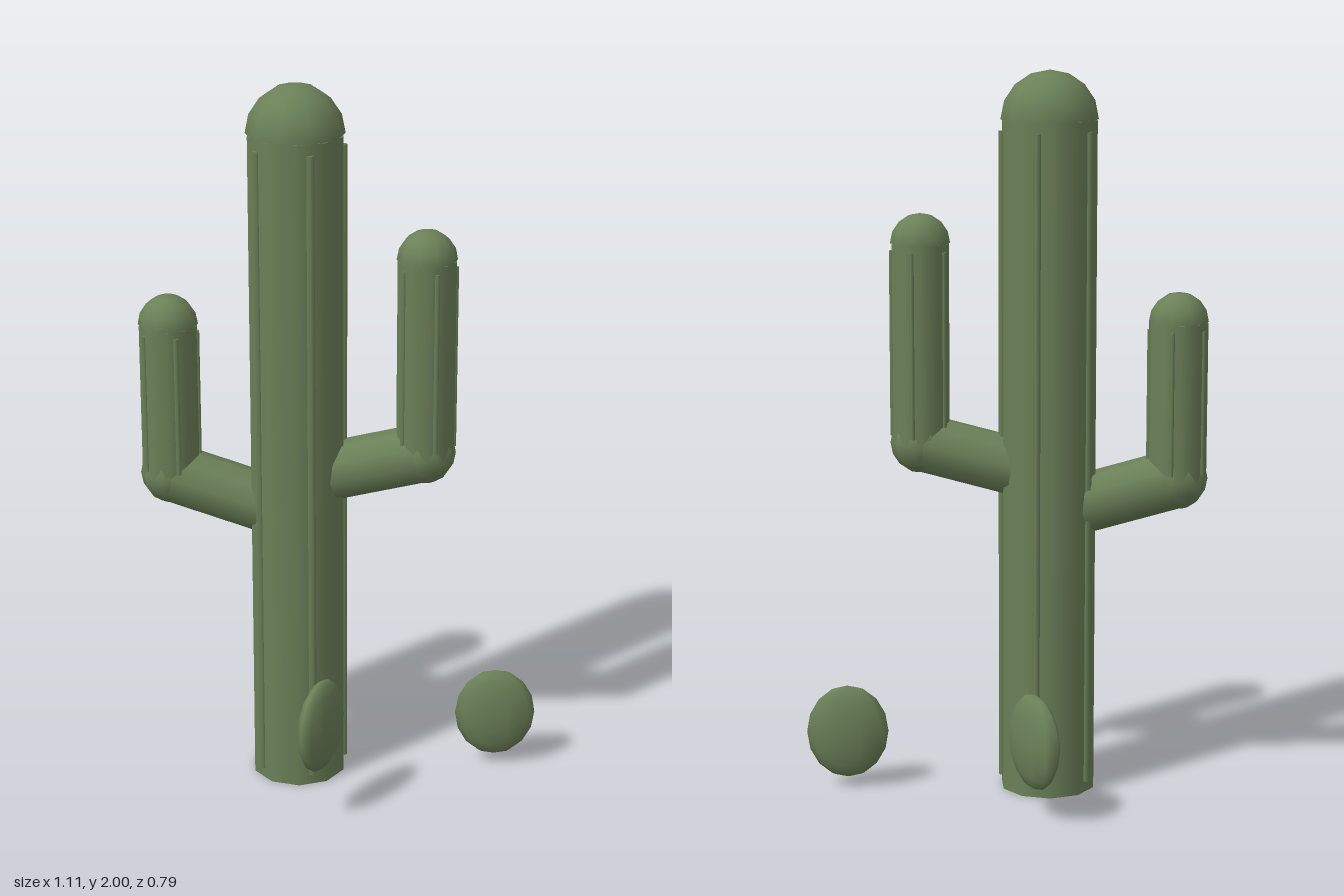
import * as THREE from 'three';

export function createModel() {
  const model = new THREE.Group();
  model.name = 'cactus';
  const green = new THREE.MeshStandardMaterial({ color: 0x6b8058 });
  green.name = 'cactus green';

  const add = (parent, name, geometry, x = 0, y = 0, z = 0) => {
    const mesh = new THREE.Mesh(geometry, green);
    mesh.name = name;
    mesh.position.set(x, y, z);
    parent.add(mesh);
    return mesh;
  };

  // Upright column with a domed top and five slim ribs
  const column = (name, x, z, bottom, top, radius, ribRadius, ribGap) => {
    const group = new THREE.Group();
    group.name = name;
    group.position.set(x, bottom, z);
    model.add(group);
    const h = top - bottom;
    add(group, 'stem', new THREE.CylinderGeometry(radius, radius, h, 10), 0, h / 2, 0);
    add(group, 'dome', new THREE.SphereGeometry(radius, 10, 4, 0, Math.PI * 2, 0, Math.PI / 2), 0, h, 0);
    const ribHeight = h - 2 * ribGap;
    for (let i = 0; i < 5; i++) {
      const a = (i / 5) * Math.PI * 2;
      const r = radius * 0.955;
      add(group, 'rib', new THREE.CylinderGeometry(ribRadius, ribRadius, ribHeight, 5),
        Math.cos(a) * r, h / 2, Math.sin(a) * r);
    }
  };

  // Trunk
  const trunkX = -0.12;
  column('trunk', trunkX, 0, 0, 1.87, 0.133, 0.011, 0.03);

  // Arms: sloping branch from the trunk, round elbow, upright column
  const arm = (side, x, y, z, top, rootY) => {
    const from = new THREE.Vector3(trunkX + Math.sign(x) * 0.05, rootY, z * 0.14);
    const to = new THREE.Vector3(x, y, z);
    const dir = to.clone().sub(from);
    const mid = from.clone().add(to).multiplyScalar(0.5);
    const branch = add(model, side + 'Branch',
      new THREE.CylinderGeometry(0.082, 0.082, dir.length(), 10), mid.x, mid.y, mid.z);
    branch.quaternion.setFromUnitVectors(new THREE.Vector3(0, 1, 0), dir.normalize());
    add(model, side + 'Elbow', new THREE.SphereGeometry(0.085, 10, 8), x, y, z);
    column(side + 'Arm', x, z, y, top, 0.082, 0.007, 0.02);
  };
  arm('left', 0.23, 0.98, 0.04, 1.533, 0.905);
  arm('right', -0.47, 0.89, -0.052, 1.325, 0.80);

  // Flat oval pads around the trunk
  const pads = [
    ['sidePad', 0.442, 0.162, 0, 0],
    ['frontPad', -0.06, 0.275, 0.293, Math.PI / 3],
    ['backPad', -0.065, 0.218, -0.296, -Math.PI / 3],
  ];
  for (const [name, x, y, z, turn] of pads) {
    const pad = add(model, name, new THREE.SphereGeometry(1, 10, 8), x, y, z);
    pad.scale.set(0.114, 0.133, 0.038);
    pad.rotation.y = turn;
  }
  return model;
}
